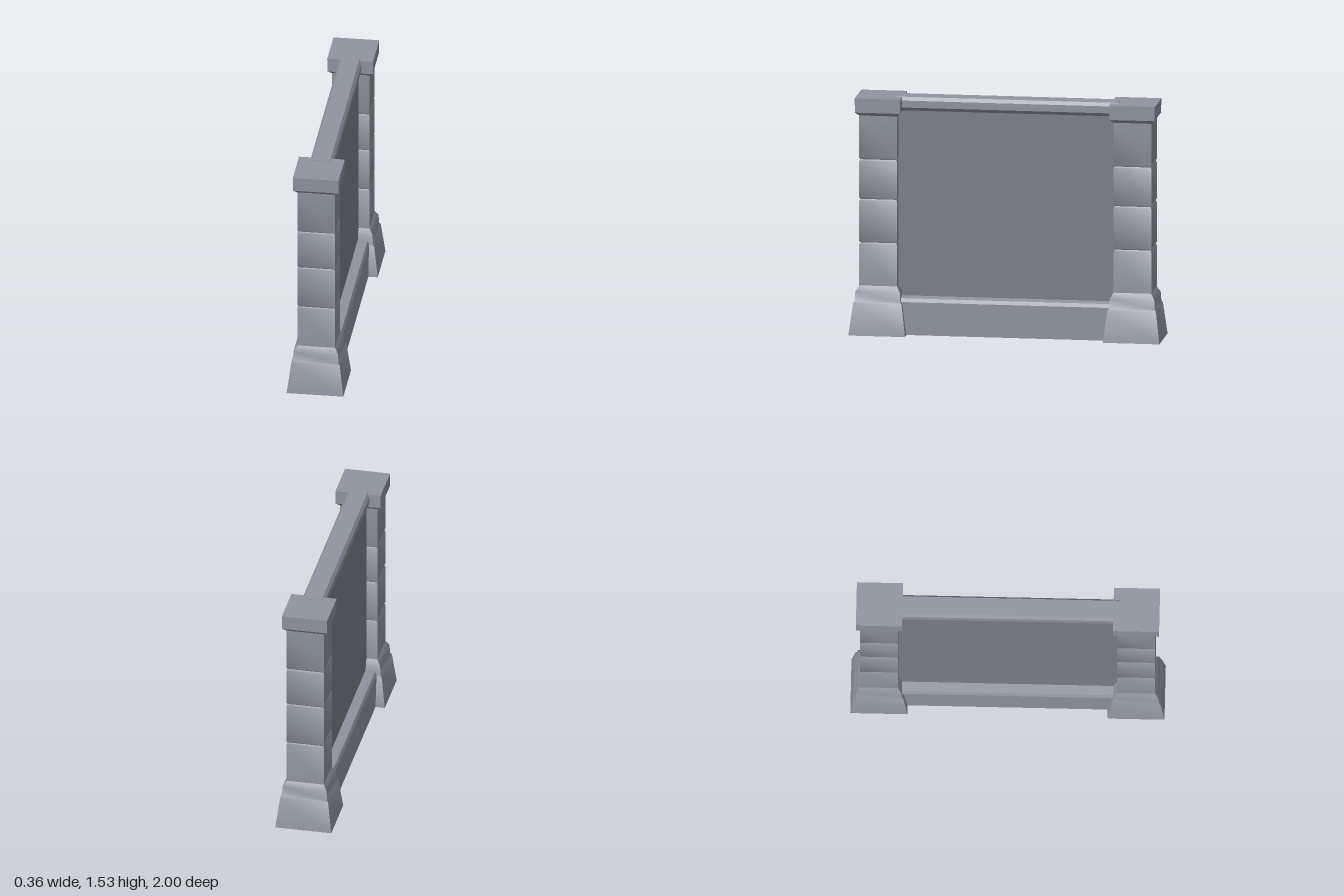
import * as THREE from 'three';
import { toCreasedNormals } from 'three/addons/utils/BufferGeometryUtils.js';

const stone = new THREE.MeshStandardMaterial({ color: 0x8f949f });
const darkStone = new THREE.MeshStandardMaterial({ color: 0x7b7f88 });

// Square column from [half width, y] pairs, listed bottom to top
function squareLoft(profile, creaseAngle) {
  const points = profile.map(([h, y]) => new THREE.Vector2(h * Math.SQRT2, y));
  const geometry = new THREE.LatheGeometry(points, 4).rotateY(Math.PI / 4);
  return toCreasedNormals(geometry, creaseAngle);
}

// Mirrored [half width, y] cross-section extruded along z
function wallStrip(name, profile, halfLength, material) {
  const right = profile.map(([x, y]) => new THREE.Vector2(x, y));
  const left = profile.map(([x, y]) => new THREE.Vector2(-x, y)).reverse();
  const geometry = new THREE.ExtrudeGeometry(new THREE.Shape([...right, ...left]), {
    depth: 2 * halfLength, bevelEnabled: false,
  });
  geometry.translate(0, 0, -halfLength);
  const mesh = new THREE.Mesh(geometry, material);
  mesh.name = name;
  return mesh;
}

function createPillar(name, z) {
  const pillar = new THREE.Group();
  pillar.name = name;
  pillar.position.z = z;
  const add = (part, creaseAngle, profile) => {
    const mesh = new THREE.Mesh(squareLoft(profile, creaseAngle), stone);
    mesh.name = part;
    pillar.add(mesh);
  };

  // Flared foot with a stepped collar, softly shaded across its steps
  add('pillarBase', 1, [
    [0, 0], [0.182, 0], [0.156, 0.205], [0.147, 0.217], [0.143, 0.28], [0.121, 0.315], [0, 0.315],
  ]);

  // Stone shaft with soft V-shaped joints between the blocks
  const shaft = [[0.121, 0.3]];
  for (const y of [0.594, 0.876, 1.133]) {
    shaft.push([0.121, y - 0.01], [0.115, y], [0.121, y + 0.01]);
  }
  shaft.push([0.121, 1.425]);
  add('pillarShaft', 1, shaft);

  // Cap with a crisp chamfered underside
  add('pillarCap', 0.5, [[0, 1.418], [0.122, 1.418], [0.145, 1.44], [0.147, 1.532], [0, 1.532]]);
  return pillar;
}

export function createModel() {
  const model = new THREE.Group();
  model.name = 'wallSection';

  model.add(createPillar('frontPillar', 0.818), createPillar('backPillar', -0.818));

  // Wall between the pillars: plinth, recessed darker panel and coping rail
  model.add(
    wallStrip('plinth', [[0.122, 0.002], [0.122, 0.215], [0.111, 0.238], [0.05, 0.245]], 0.72, stone),
    wallStrip('panel', [[0.05, 0.22], [0.05, 1.46]], 0.75, darkStone),
    wallStrip('topRail', [[0.05, 1.445], [0.074, 1.468], [0.074, 1.513], [0.058, 1.535]], 0.715, stone),
  );
  return model;
}
